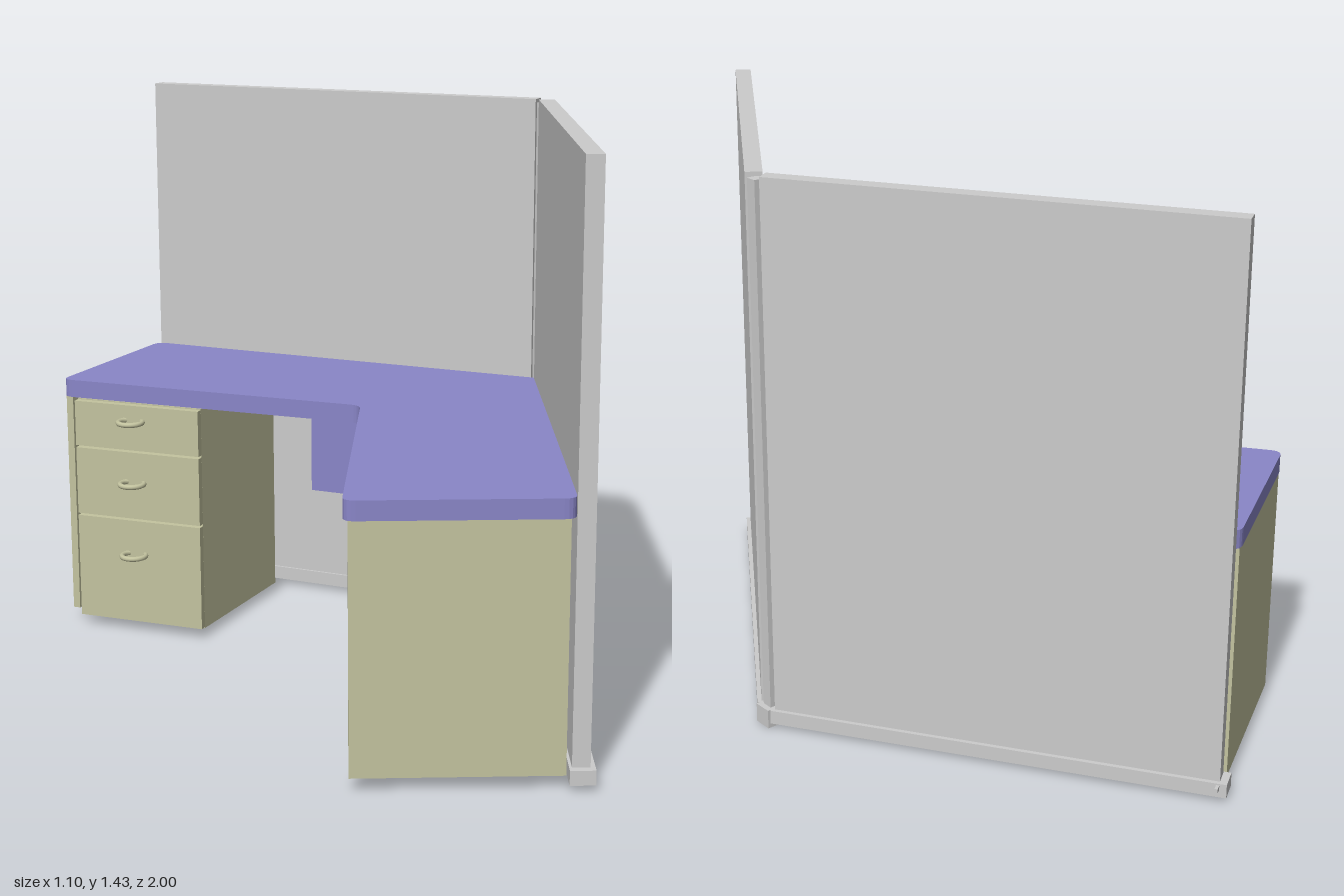
import * as THREE from 'three';

const grey = new THREE.MeshStandardMaterial({ color: 0xcccccc });
const blue = new THREE.MeshStandardMaterial({ color: 0x8a86c8 });
const khaki = new THREE.MeshStandardMaterial({ color: 0xc4c4a0 });

// Vertical prism from a plan outline of [x, z] points, corners optionally rounded
function prism(name, pts, y0, y1, material, r = 0) {
  const shape = new THREE.Shape();
  const v = pts.map(([x, z]) => new THREE.Vector2(x, -z));
  v.forEach((p, i) => {
    const toward = (q) => p.clone().add(q.clone().sub(p).setLength(r));
    const a = toward(v[(i + v.length - 1) % v.length]);
    const b = toward(v[(i + 1) % v.length]);
    if (i === 0) shape.moveTo(a.x, a.y); else shape.lineTo(a.x, a.y);
    if (r > 0) shape.quadraticCurveTo(p.x, p.y, b.x, b.y);
  });
  shape.closePath();
  const geo = new THREE.ExtrudeGeometry(shape, { depth: y1 - y0, bevelEnabled: false, curveSegments: 5 });
  geo.rotateX(-Math.PI / 2);
  geo.translate(0, y0, 0);
  const mesh = new THREE.Mesh(geo, material);
  mesh.name = name;
  return mesh;
}

// Plan outline of a strip from a to b, between offsets o0 and o1 to the side
function strip(a, b, o0, o1) {
  const dx = b[0] - a[0], dz = b[1] - a[1], l = Math.hypot(dx, dz);
  const at = (p, o) => [p[0] - (dz / l) * o, p[1] + (dx / l) * o];
  return [at(a, o0), at(b, o0), at(b, o1), at(a, o1)];
}

const lerp = (a, b, t) => [a[0] + (b[0] - a[0]) * t, a[1] + (b[1] - a[1]) * t];

export function createModel() {
  const model = new THREE.Group();
  const mirror = (pts, s) => pts.map(([x, z]) => [x, z * s]);

  // Chevron worktop with softened corners
  model.add(prism('worktop',
    [[0.505, 0], [-0.13, 0.965], [-0.567, 0.693], [-0.062, 0], [-0.567, -0.693], [-0.13, -0.965]],
    0.635, 0.682, blue, 0.03));

  // Two screen wings, each with base rail, desk end panel and modesty panel
  for (const s of [1, -1]) {
    const side = s > 0 ? 'left' : 'right';
    const add = (name, pts, y0, y1, mat) => model.add(prism(side + name, mirror(pts, s), y0, y1, mat));
    add('ScreenPanel', strip([-0.107, 0.968], [0.511, 0.018], -0.021, 0.021), 0.045, 1.43, grey);
    add('BaseRail', strip([-0.115, 0.985], [0.517, 0.012], -0.03, 0.03), 0.014, 0.05, grey);
    add('EndPanel', strip([-0.553, 0.695], [-0.138, 0.953], -0.018, 0.002), 0.033, 0.635, khaki);
    const end = s > 0 ? [-0.125, 0.925] : [0.13, 0.537];
    add('ModestyPanel', strip(end, [0.482, 0.005], -0.012, 0.004), 0.3, 0.635, blue);
  }

  // Corner post and its foot
  const post = new THREE.Mesh(new THREE.BoxGeometry(0.03, 1.4, 0.03), grey);
  post.name = 'cornerPost';
  post.position.set(0.517, 0.72, 0);
  const foot = new THREE.Mesh(new THREE.BoxGeometry(0.05, 0.05, 0.05), grey);
  foot.name = 'cornerFoot';
  foot.position.set(0.522, 0.025, 0);
  model.add(post, foot);

  // Small connector pin at the free end of the right rail
  const pin = new THREE.Mesh(new THREE.BoxGeometry(0.03, 0.012, 0.008), grey);
  pin.name = 'railPin';
  pin.position.set(-0.075, 0.04, -0.985);
  pin.rotation.y = 0.55;
  model.add(pin);

  // Drawer pedestal: skewed carcass, three fronts and ring pulls
  const pedestal = new THREE.Group();
  pedestal.name = 'drawerPedestal';
  const a = [-0.54, -0.655], b = [-0.327, -0.363];
  const back = ([x, z]) => [x + 0.355, z - 0.222];
  pedestal.add(prism('pedestalBody', [a, b, back(b), back(a)], 0.025, 0.634, khaki));
  const levels = [0.025, 0.315, 0.505, 0.634];
  const mid = lerp(a, b, 0.48);
  for (let i = 0; i < 3; i++) {
    const y0 = levels[i] + 0.003, y1 = levels[i + 1] - 0.003;
    pedestal.add(prism('drawerFront', strip(a, b, 0, -0.02).map(([x, z]) => [x, z]), y0, y1, khaki));
    const pull = new THREE.Mesh(new THREE.TorusGeometry(0.032, 0.007, 8, 24), khaki);
    pull.name = 'drawerPull';
    pull.rotation.x = Math.PI / 2;
    pull.position.set(mid[0] - 0.031, [0.22, 0.42, 0.59][i], mid[1] + 0.022);
    pedestal.add(pull);
  }
  // Fronts and pulls face the seat side of the desk
  for (const m of pedestal.children.filter((c) => c.name === 'drawerFront')) {
    m.geometry.computeBoundingBox();
    if (m.geometry.boundingBox.min.x > a[0] - 0.005) m.position.set(-0.0162, 0, 0.0118);
  }
  model.add(pedestal);
  return model;
}
